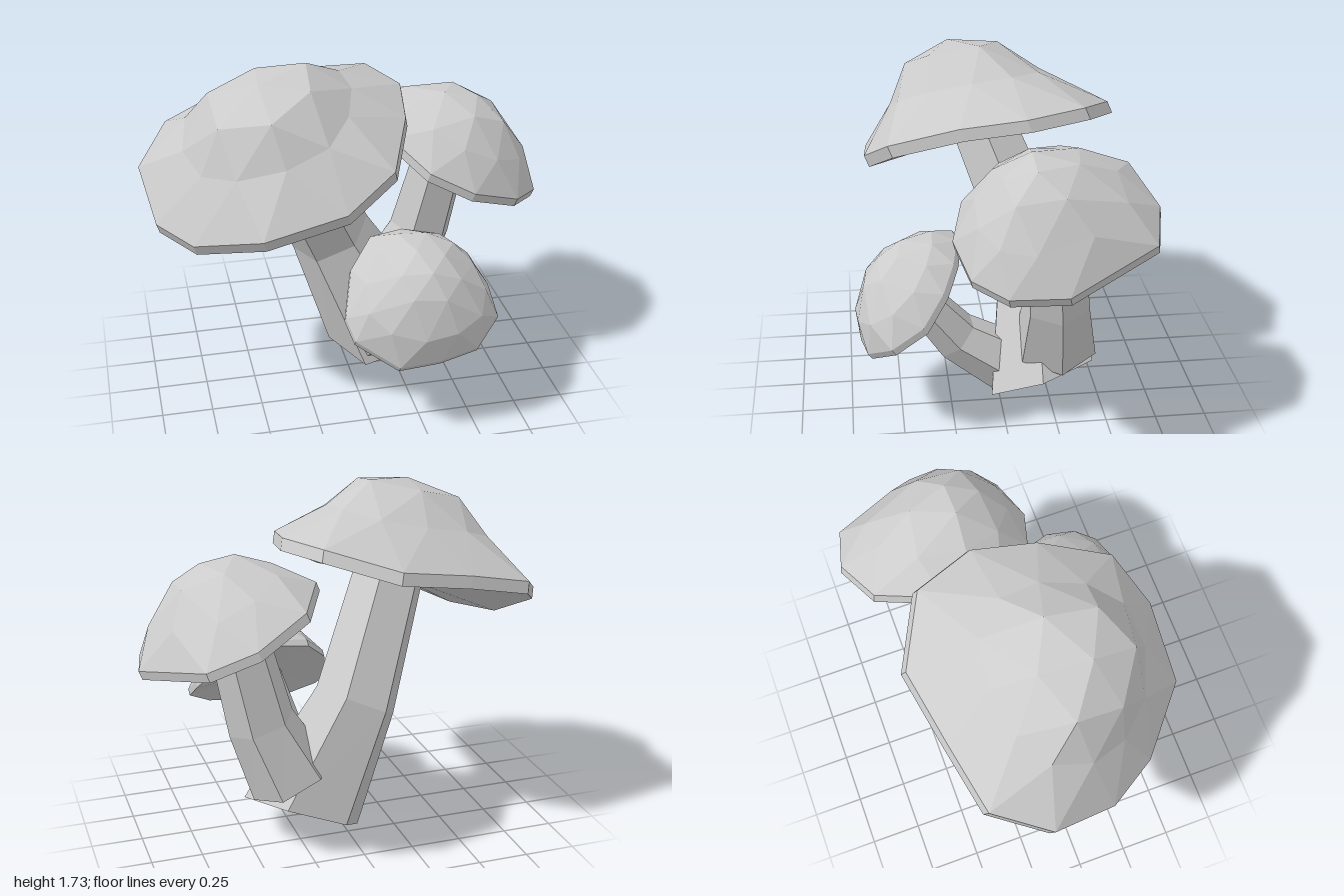
import * as THREE from 'three';

const V = (a) => new THREE.Vector3(...a);
const material = () => new THREE.MeshStandardMaterial({ color: 0xcccccc, flatShading: true });

// Non-indexed mesh from a list of corner vectors, three per face
function facetMesh(name, corners) {
  const geometry = new THREE.BufferGeometry().setFromPoints(corners);
  geometry.computeVertexNormals();
  const mesh = new THREE.Mesh(geometry, material());
  mesh.name = name;
  return mesh;
}

// Ring of six corners counter-clockwise around an axis, first corner towards ref
function ring(center, axis, ref, radius) {
  const n = axis.clone().normalize();
  const u = ref.clone().addScaledVector(n, -ref.dot(n)).normalize();
  const v = n.clone().cross(u);
  return Array.from({ length: 6 }, (_, i) => {
    const a = (i / 6) * Math.PI * 2;
    return center.clone().addScaledVector(u, Math.cos(a) * radius).addScaledVector(v, Math.sin(a) * radius);
  });
}

// Bent six-sided stem through stations [x, y, z, radius]
function stem(name, stations, ref, startAxis) {
  const points = stations.map((s) => V(s.slice(0, 3)));
  const rings = points.map((p, i) => {
    const before = points[Math.max(i - 1, 0)];
    const after = points[Math.min(i + 1, points.length - 1)];
    const axis = i === 0 && startAxis ? V(startAxis) : after.clone().sub(before);
    return ring(p, axis, V(ref), stations[i][3]);
  });
  const out = [];
  for (let i = 0; i < 6; i++) {
    const j = (i + 1) % 6;
    for (let k = 0; k + 1 < rings.length; k++) {
      const a = rings[k], b = rings[k + 1];
      out.push(a[i], a[j], b[j], a[i], b[j], b[i]);
    }
    const last = rings.length - 1;
    out.push(points[0], rings[0][j], rings[0][i]);
    out.push(points[last], rings[last][i], rings[last][j]);
  }
  return facetMesh(name, out);
}

// Faceted cap: lower rim, thin edge band, two dome rings, crown and underside
function cap(name, rimPoints, rise, shoulder, undersideRise) {
  const rim = rimPoints.map(V);
  const n = rim.length;
  const center = rim.reduce((sum, p) => sum.add(p), new THREE.Vector3()).divideScalar(n);
  const d = V(rise);
  const at = (p, s, h) => center.clone().lerp(p, s).addScaledVector(d, h);
  const edge = rim.map((p) => at(p, 1, 0.12));
  const middle = rim.map((p, i) => at(p.clone().lerp(rim[(i + 1) % n], 0.5), shoulder * 1.04, 0.52));
  const upper = rim.filter((_, i) => i % 2 === 0)
    .map((p, i) => at(p.clone().lerp(rim[2 * i + 1], 0.5), 0.4, 0.87));
  const crown = at(center, 0, 1);
  const underside = at(center, 0, undersideRise);
  const out = [];
  for (let i = 0; i < n; i++) {
    const j = (i + 1) % n;
    out.push(rim[i], rim[j], edge[j], rim[i], edge[j], edge[i]);
    out.push(underside, rim[j], rim[i]);
    out.push(edge[i], edge[j], middle[i], edge[j], middle[j], middle[i]);
  }
  for (let i = 0; i < n / 2; i++) {
    const j = (i + 1) % (n / 2);
    const a = middle[2 * i], b = middle[2 * i + 1], c = middle[(2 * i + 2) % n];
    out.push(a, b, upper[i], b, upper[j], upper[i], b, c, upper[j]);
    out.push(upper[i], upper[j], crown);
  }
  return facetMesh(name, out);
}

function mushroom(name, ...parts) {
  const group = new THREE.Group();
  group.name = name;
  group.add(...parts);
  return group;
}

export function createModel() {
  const model = new THREE.Group();
  model.name = 'mushroomCluster';

  // Large leaning mushroom whose wide foot carries the others
  const largeRim = [
    [0.3, 1.47, -0.14], [0.19, 1.48, -0.43], [-0.13, 1.39, -0.6], [-0.5, 1.32, -0.53],
    [-0.83, 1.24, -0.46], [-0.99, 1.12, -0.2], [-0.94, 0.96, 0.12], [-0.79, 0.95, 0.36],
    [-0.5, 1.06, 0.6], [-0.12, 1.16, 0.61], [0.12, 1.3, 0.5], [0.25, 1.42, 0.17],
  ];
  model.add(mushroom('largeMushroom',
    stem('largeStem', [[0.23, 0.138, -0.21, 0.305], [-0.05, 0.7, -0.21, 0.21], [-0.32, 1.3, 0.03, 0.18]],
      [-0.135, -0.14, 0.23], [-0.36, 0.88, 0.29]),
    cap('largeCap', largeRim, [-0.13, 0.455, 0.19], 0.62, 0.02)));

  // Medium mushroom on the left
  const mediumRim = [
    [0.99, 0.94, -0.22], [0.77, 1.06, -0.65], [0.55, 1.15, -0.7], [0.3, 1.27, -0.6], [0.16, 1.31, -0.3],
    [0.2, 1.25, 0], [0.35, 1.13, 0.19], [0.56, 1.03, 0.25], [0.8, 0.95, 0.19], [0.94, 0.92, 0.04],
  ];
  model.add(mushroom('mediumMushroom',
    stem('mediumStem', [[0.3, 0.36, -0.27, 0.21], [0.44, 0.66, -0.25, 0.165], [0.55, 1.16, -0.21, 0.14]], [1, 0, 0]),
    cap('mediumCap', mediumRim, [0.12, 0.335, 0.07], 0.72, -0.1)));

  // Small mushroom tilted forwards
  const smallRim = [
    [0.62, 0.52, 0.53], [0.61, 0.62, 0.38], [0.53, 0.75, 0.28], [0.4, 0.84, 0.22],
    [0.22, 0.87, 0.19], [0.06, 0.85, 0.2], [-0.06, 0.74, 0.31], [-0.12, 0.57, 0.47],
    [-0.09, 0.49, 0.56], [0.1, 0.385, 0.67], [0.3, 0.4, 0.67], [0.49, 0.43, 0.64],
  ];
  model.add(mushroom('smallMushroom',
    stem('smallStem', [[0.18, 0.17, -0.06, 0.16], [0.2, 0.36, 0.215, 0.125], [0.24, 0.66, 0.44, 0.09]], [1, 0, 0]),
    cap('smallCap', smallRim, [0.02, 0.23, 0.17], 0.78, 0.1)));

  return model;
}
